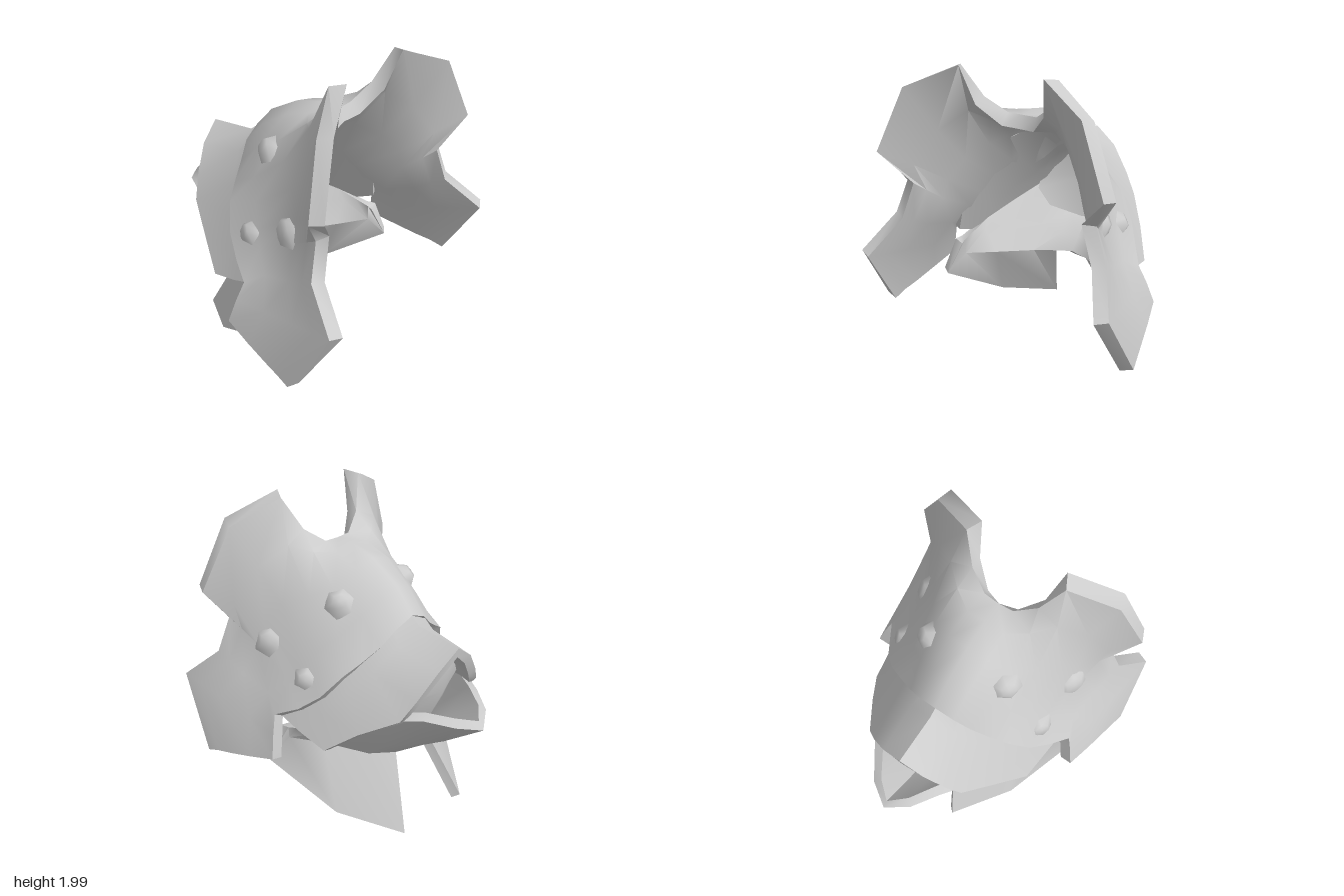
import * as THREE from 'three';
import { toCreasedNormals } from 'three/addons/utils/BufferGeometryUtils.js';

const material = new THREE.MeshStandardMaterial({ color: 0xcccccc });
const doubleMaterial = new THREE.MeshStandardMaterial({ color: 0xcccccc, side: THREE.DoubleSide });

// Thick mirrored plate: each station is a row of points from front edge to back
// edge, stations run from the centre ridge out to the +x side. The bevel pulls
// the outer front edge back towards the second row.
function plate(name, stations, thickness, bevel) {
  const mirrored = stations.slice(1).reverse().map(row => row.map(([x, y, z]) => [-x, y, z]));
  const rows = [...mirrored, ...stations];
  const I = rows.length, J = rows[0].length, n = I * J;
  const id = (i, j) => i * J + j;

  const faces = [];
  for (let i = 0; i < I - 1; i++) {
    for (let j = 0; j < J - 1; j++) {
      const a = id(i, j), b = id(i + 1, j), c = id(i + 1, j + 1), d = id(i, j + 1);
      // mirror the diagonal so both halves match
      if (i < (I - 1) / 2) faces.push([a, b, d], [b, c, d]);
      else faces.push([a, b, c], [a, c, d]);
    }
  }
  const mid = new THREE.BufferGeometry();
  mid.setAttribute('position', new THREE.Float32BufferAttribute(rows.flat(2), 3));
  mid.setIndex(faces.flat());
  mid.computeVertexNormals();

  // Offset to both sides of the middle surface
  const p = mid.attributes.position, nor = mid.attributes.normal;
  const points = [];
  for (const side of [0.5, -0.5]) {
    for (let k = 0; k < n; k++) {
      const v = new THREE.Vector3().fromBufferAttribute(p, k);
      if (side > 0 && k % J === 0) v.lerp(new THREE.Vector3().fromBufferAttribute(p, k + 1), bevel);
      v.addScaledVector(new THREE.Vector3().fromBufferAttribute(nor, k), side * thickness);
      points.push(v.x, v.y, v.z);
    }
  }
  const index = [];
  for (const [a, b, c] of faces) index.push(a, b, c, n + a, n + c, n + b);

  // Rim joining the two sides
  const loop = [];
  for (let i = 0; i < I - 1; i++) loop.push(id(i, 0));
  for (let j = 0; j < J - 1; j++) loop.push(id(I - 1, j));
  for (let i = I - 1; i > 0; i--) loop.push(id(i, J - 1));
  for (let j = J - 1; j > 0; j--) loop.push(id(0, j));
  loop.forEach((a, k) => {
    const b = loop[(k + 1) % loop.length];
    index.push(n + a, n + b, b, n + a, b, a);
  });

  const geometry = new THREE.BufferGeometry();
  geometry.setAttribute('position', new THREE.Float32BufferAttribute(points, 3));
  geometry.setIndex(index);
  const mesh = new THREE.Mesh(toCreasedNormals(geometry, 0.85), material);
  mesh.name = name;
  return mesh;
}

export function createModel() {
  const model = new THREE.Group();
  model.name = 'armourPlates';
  const body = new THREE.Group();
  body.name = 'turnedBody';
  body.rotation.y = 0.174;
  body.position.x = -0.08;
  model.add(body);

  // Large front plate with two upright horns and side flaps
  body.add(plate('hornedPlate', [
    [[0, 1.64, 0.27], [0, 1.64, 0.12], [0, 1.6, -0.04], [0, 1.49, -0.23], [0, 1.35, -0.35]],
    [[0.1, 1.65, 0.29], [0.11, 1.62, 0.13], [0.11, 1.57, -0.03], [0.1, 1.45, -0.21], [0.1, 1.3, -0.34]],
    [[0.22, 1.77, 0.36], [0.23, 1.64, 0.22], [0.24, 1.48, 0.02], [0.21, 1.36, -0.17], [0.19, 1.21, -0.31]],
    [[0.29, 2.005, 0.44], [0.33, 1.7, 0.32], [0.33, 1.43, 0.13], [0.32, 1.24, -0.1], [0.3, 1.13, -0.27]],
    [[0.59, 1.865, 0.575], [0.48, 1.58, 0.43], [0.42, 1.36, 0.27], [0.41, 1.15, -0.02], [0.4, 1.06, -0.23]],
    [[0.765, 1.46, 0.65], [0.61, 1.36, 0.51], [0.5, 1.23, 0.35], [0.48, 1.04, 0.05], [0.5, 0.93, -0.15]],
    [[0.6, 1.26, 0.57], [0.57, 1.19, 0.48], [0.54, 1.1, 0.36], [0.53, 0.95, 0.1], [0.58, 0.83, -0.04]],
    [[0.68, 1.03, 0.6], [0.66, 0.98, 0.51], [0.64, 0.92, 0.4], [0.61, 0.85, 0.2], [0.66, 0.77, 0.08]],
    [[0.8, 0.83, 0.81], [0.775, 0.79, 0.67], [0.75, 0.75, 0.51], [0.71, 0.69, 0.27], [0.7, 0.66, 0.05]],
    [[0.845, 0.38, 0.55], [0.83, 0.41, 0.46], [0.81, 0.43, 0.36], [0.78, 0.47, 0.2], [0.74, 0.52, 0.02]],
  ], 0.08, 0.14));

  // Second plate, lining the first and reaching out behind it
  body.add(plate('middlePlate', [
    [[0, 1.55, -0.1], [0, 1.3, -0.42], [0, 1.27, -0.73]],
    [[0.12, 1.52, -0.08], [0.13, 1.22, -0.4], [0.12, 1.17, -0.71]],
    [[0.29, 1.41, 0.04], [0.27, 1.08, -0.33], [0.24, 1.01, -0.66]],
    [[0.41, 1.29, 0.17], [0.39, 0.97, -0.25], [0.32, 0.89, -0.61]],
    [[0.5, 1.07, 0.17], [0.5, 0.82, -0.14], [0.46, 0.77, -0.41]],
    [[0.61, 0.75, 0.11], [0.59, 0.68, -0.06], [0.57, 0.63, -0.24]],
  ], 0.06, 0));

  // Lower bowl with two downward fins and a rising tail
  body.add(plate('finnedBowl', [
    [[0, 0.47, -0.4], [0, 0.54, -0.49], [0, 0.65, -0.65], [0, 0.87, -0.93]],
    [[0.13, 0.48, -0.39], [0.13, 0.56, -0.44], [0.13, 0.67, -0.58], [0.12, 0.9, -0.84]],
    [[0.25, 0.02, -0.6], [0.26, 0.49, -0.29], [0.27, 0.62, -0.41], [0.22, 0.92, -0.69]],
    [[0.51, 0.14, -0.26], [0.43, 0.54, -0.07], [0.41, 0.66, -0.24], [0.31, 0.9, -0.56]],
    [[0.68, 0.42, 0.16], [0.57, 0.57, 0.09], [0.52, 0.67, -0.08], [0.44, 0.8, -0.33]],
    [[0.59, 0.65, 0.12], [0.58, 0.66, 0.08], [0.56, 0.69, 0], [0.53, 0.73, -0.13]],
  ], 0.06, 0));

  // Inner wall closing the cavity
  const half = [[0, 1.24, -0.6], [0.15, 1.13, -0.58], [0.31, 0.95, -0.5], [0.31, 0.87, -0.46], [0.22, 0.76, -0.46]];
  const ring = [...half, [0, 0.7, -0.52],
    ...half.slice(1).reverse().map(([x, y, z]) => [-x, y, z])];
  const wallIndex = ring.flatMap((_, k) => [0, ((k + 1) % ring.length) + 1, k + 1]);
  const wall = new THREE.BufferGeometry();
  wall.setAttribute('position', new THREE.Float32BufferAttribute([0, 0.97, -0.64, ...ring.flat()], 3));
  wall.setIndex(wallIndex);
  wall.computeVertexNormals();
  const wallMesh = new THREE.Mesh(wall, doubleMaterial);
  wallMesh.name = 'innerWall';
  body.add(wallMesh);

  // Low faceted studs: position, outward direction, radius
  const studs = [
    [[0.53, 1.15, 0.28], [0.8, 0.42, -0.42], 0.125],
    [[0.275, 1.44, -0.06], [0.62, 0.6, -0.5], 0.1],
    [[0.51, 1.0, -0.02], [0.78, 0.4, -0.48], 0.1],
  ];
  const up = new THREE.Vector3(0, 1, 0);
  for (const side of [1, -1]) {
    for (const [pos, dir, radius] of studs) {
      const geometry = toCreasedNormals(new THREE.CylinderGeometry(radius * 0.45, radius, 0.06, 6), 1.1);
      const stud = new THREE.Mesh(geometry, material);
      stud.name = side > 0 ? 'leftStud' : 'rightStud';
      const normal = new THREE.Vector3(side * dir[0], dir[1], dir[2]).normalize();
      stud.position.set(side * pos[0], pos[1], pos[2]).addScaledVector(normal, 0.015);
      stud.quaternion.setFromUnitVectors(up, normal);
      body.add(stud);
    }
  }
  return model;
}
